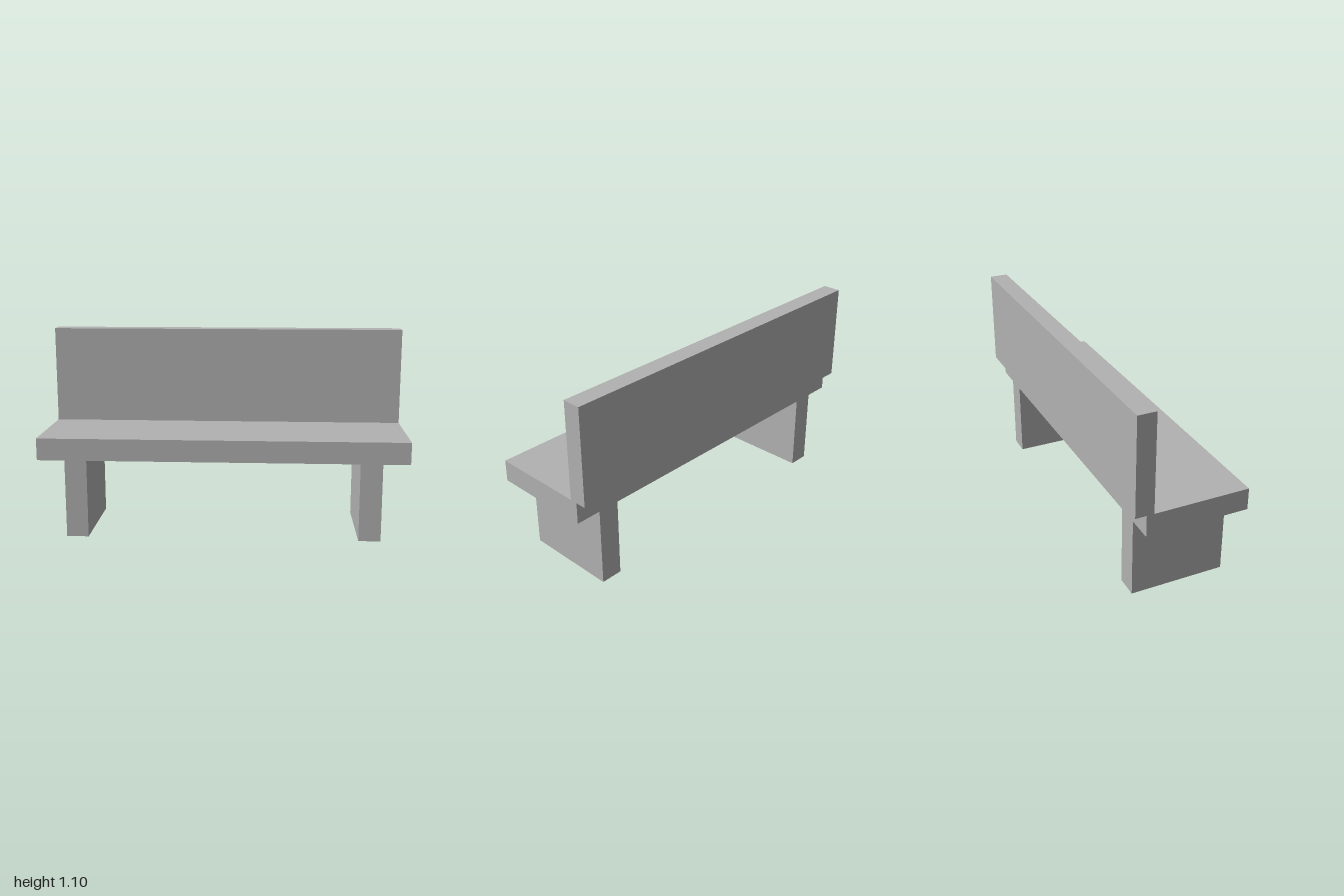
import * as THREE from 'three';

export function createModel() {
  const bench = new THREE.Group();
  bench.name = 'bench';
  const grey = new THREE.MeshStandardMaterial({ color: 0xb2b2b2, side: THREE.DoubleSide });
  grey.name = 'plain grey';

  // Hollow box shell without an underside, given by its limits
  function shell(name, x0, x1, y0, y1, z0, z1) {
    const geometry = new THREE.BoxGeometry(x1 - x0, y1 - y0, z1 - z0);
    const index = Array.from(geometry.index.array);
    index.splice(18, 6); // the face towards -y
    geometry.setIndex(index);
    geometry.clearGroups();
    const mesh = new THREE.Mesh(geometry, grey);
    mesh.name = name;
    mesh.position.set((x0 + x1) / 2, (y0 + y1) / 2, (z0 + z1) / 2);
    bench.add(mesh);
  }

  shell('seat', -1, 1, 0.44, 0.56, -0.25, 0.31);
  shell('backrest', -1, 1, 0.56, 1.1, -0.31, -0.21);

  // Slab legs, one near each end
  shell('leftLeg', 0.74, 0.86, 0, 0.44, -0.25, 0.27);
  shell('rightLeg', -0.86, -0.74, 0, 0.44, -0.25, 0.27);

  return bench;
}
